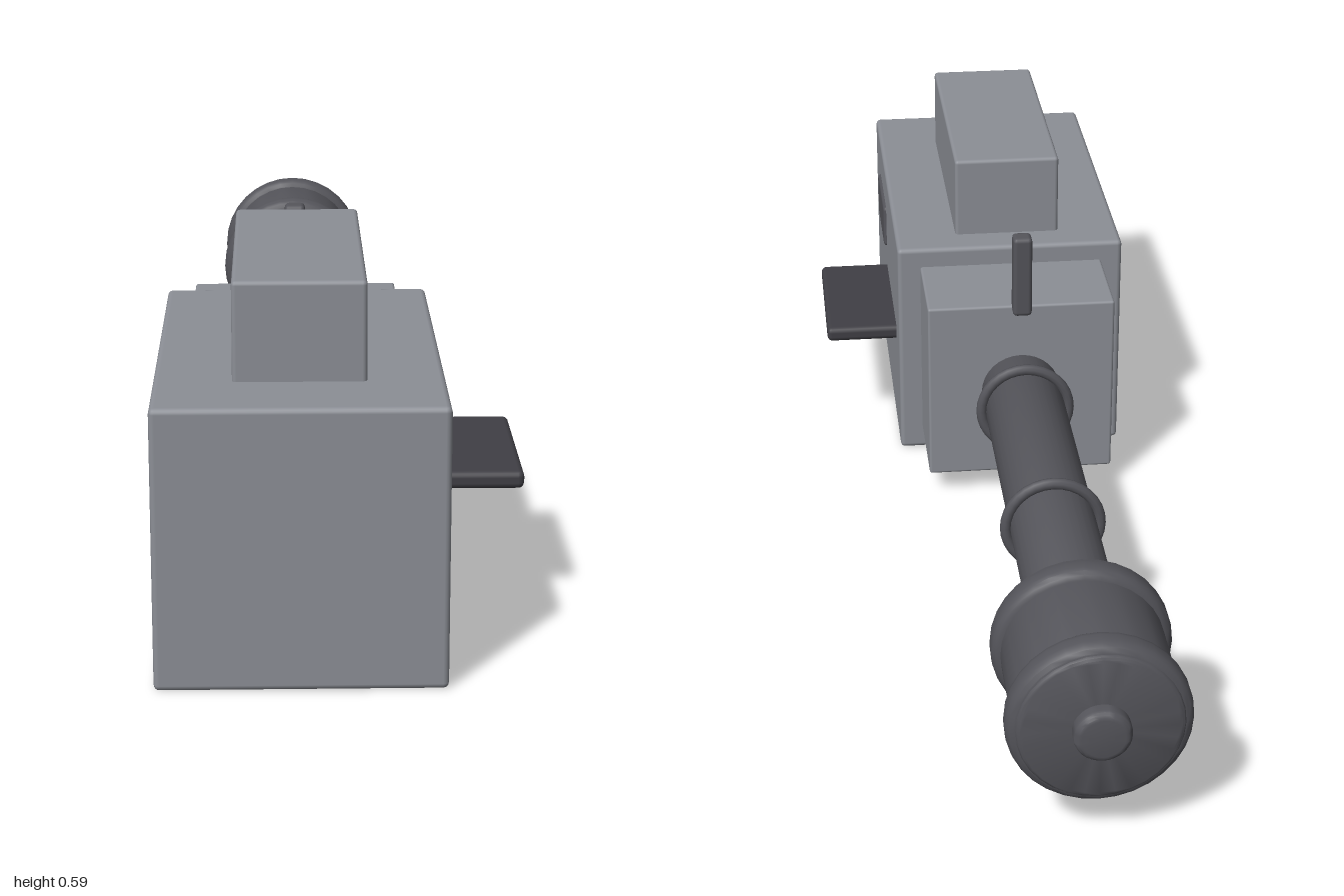
import * as THREE from 'three';
import { RoundedBoxGeometry } from 'three/addons/geometries/RoundedBoxGeometry.js';
import { toCreasedNormals } from 'three/addons/utils/BufferGeometryUtils.js';

const AXIS_X = -0.071, AXIS_Y = 0.225;

export function createModel() {
  const model = new THREE.Group();
  model.name = 'barrelledDevice';
  const casing = new THREE.MeshStandardMaterial({ color: 0x8c8f96 });
  const metal = new THREE.MeshStandardMaterial({ color: 0x55555b });
  const dark = new THREE.MeshStandardMaterial({ color: 0x403f45 });

  function add(name, geometry, material) {
    const mesh = new THREE.Mesh(geometry, material);
    mesh.name = name;
    model.add(mesh);
    return mesh;
  }

  // Bevelled box given by its limits on each axis
  function box(name, [x0, x1], [y0, y1], [z0, z1], bevel, material) {
    const geo = new RoundedBoxGeometry(x1 - x0, y1 - y0, z1 - z0, 2, bevel);
    add(name, geo, material).position.set((x0 + x1) / 2, (y0 + y1) / 2, (z0 + z1) / 2);
  }

  // Bevelled round part on the barrel axis, running from z = near back to z = far
  function round(name, radius, near, far, bevel, material) {
    const points = [new THREE.Vector2(0, -near)];
    for (let i = 0; i <= 4; i++) {
      const a = (i / 4) * Math.PI / 2;
      points.push(new THREE.Vector2(radius - bevel + bevel * Math.sin(a), -near + bevel - bevel * Math.cos(a)));
    }
    for (let i = 0; i <= 4; i++) {
      const a = (i / 4) * Math.PI / 2;
      points.push(new THREE.Vector2(radius - bevel + bevel * Math.cos(a), -far - bevel + bevel * Math.sin(a)));
    }
    points.push(new THREE.Vector2(0, -far));
    const geo = new THREE.LatheGeometry(points, 32).rotateX(-Math.PI / 2);
    add(name, toCreasedNormals(geo, 0.6), material).position.set(AXIS_X, AXIS_Y, 0);
  }

  // Casing
  box('mainBody', [-0.291, 0.15], [0.003, 0.443], [0.31, 1.0], 0.009, casing);
  box('barrelMount', [-0.25, 0.106], [0.048, 0.405], [0.122, 0.32], 0.005, casing);
  box('topHousing', [-0.172, 0.031], [0.42, 0.598], [0.373, 0.865], 0.007, casing);

  // Side fittings and sight
  box('sidePanel', [0.13, 0.156], [0.282, 0.371], [0.678, 0.866], 0.008, metal);
  box('sideTray', [0.12, 0.289], [0.209, 0.238], [0.39, 0.692], 0.01, dark);
  box('sightPost', [-0.09, -0.054], [0.39, 0.55], [0.104, 0.14], 0.008, metal);

  // Barrel and its rings
  round('barrel', 0.075, 0.2, -0.75, 0.004, metal);
  for (const z of [0.046, -0.377]) {
    const ring = add('barrelRing', new THREE.TorusGeometry(0.083, 0.01, 10, 32), metal);
    ring.position.set(AXIS_X, AXIS_Y, z);
  }

  // Muzzle drum, flanges and end knob
  round('muzzleDrum', 0.133, -0.712, -0.974, 0.012, metal);
  round('muzzleInnerFlange', 0.147, -0.708, -0.765, 0.02, metal);
  round('muzzleOuterFlange', 0.147, -0.914, -0.968, 0.02, metal);
  round('endKnob', 0.046, -0.95, -1.0, 0.012, metal);

  return model;
}
